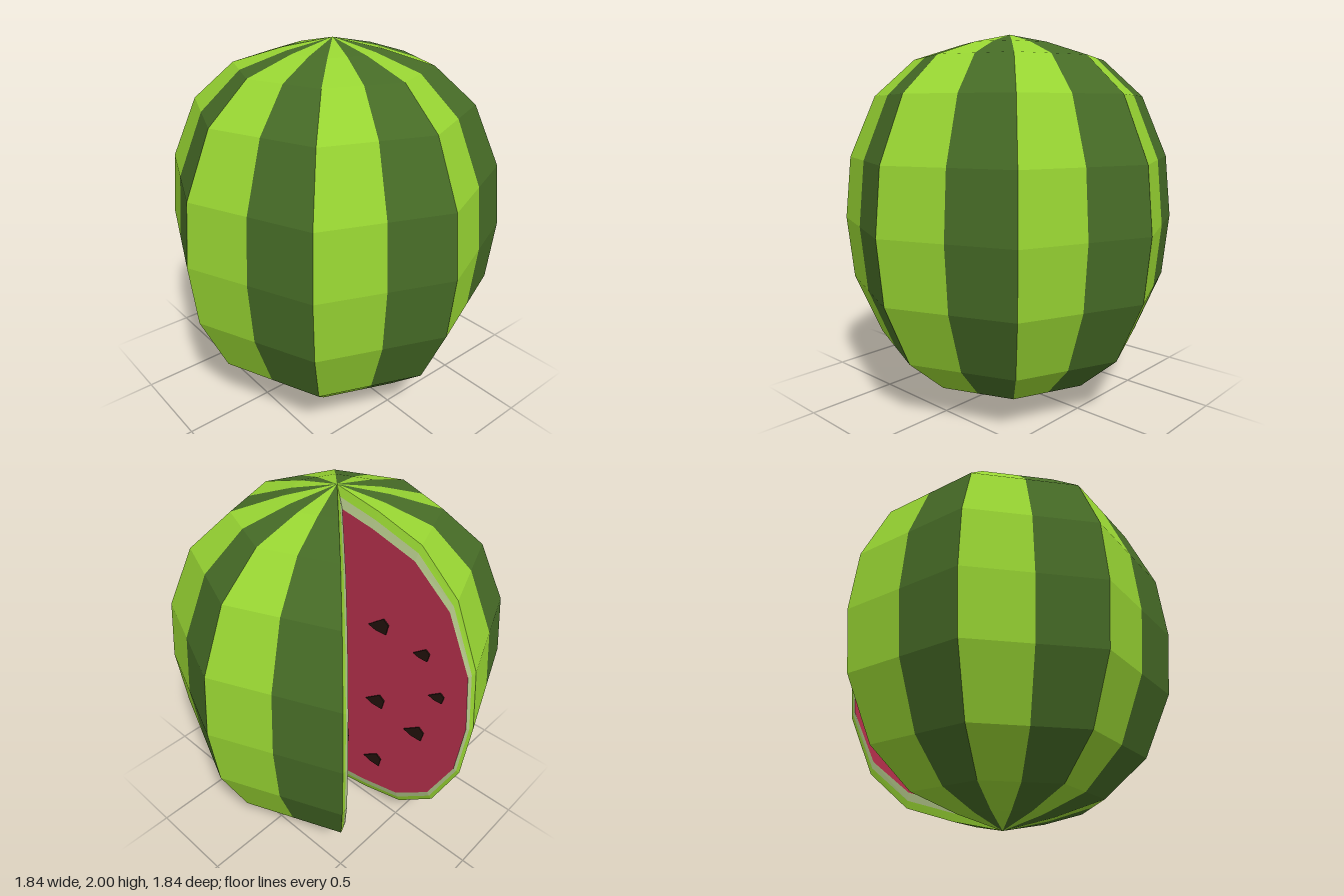
import * as THREE from 'three';

// Half outline of the melon, bottom to top: [radius, height]
const PROFILE = [[0, 0], [0.26, 0.055], [0.52, 0.135], [0.74, 0.33], [0.885, 0.66], [0.92, 1],
  [0.885, 1.34], [0.74, 1.67], [0.52, 1.865], [0.26, 1.945], [0, 2]];

const paint = (color) => new THREE.MeshStandardMaterial({ color, flatShading: true });

function part(name, geometry, material) {
  const mesh = new THREE.Mesh(geometry, material);
  mesh.name = name;
  return mesh;
}

// Joins two point rows with quads; rowA to rowB runs to the left of the row direction
function strip(rowA, rowB) {
  const pos = [];
  for (let i = 0; i < rowA.length - 1; i++) {
    const [a, b, c, d] = [rowA[i], rowA[i + 1], rowB[i + 1], rowB[i]];
    pos.push(...a, ...b, ...c, ...a, ...c, ...d);
  }
  const geo = new THREE.BufferGeometry();
  geo.setAttribute('position', new THREE.Float32BufferAttribute(pos, 3));
  geo.computeVertexNormals();
  return geo;
}

// Skin row at stripe border k: even borders are octagon corners, odd ones edge midpoints
function meridian(k) {
  const a = k * Math.PI / 8;
  const s = k % 2 ? Math.cos(Math.PI / 8) : 1;
  return PROFILE.map(([r, y]) => [Math.sin(a) * r * s, y, Math.cos(a) * r * s]);
}

// Outline of a cut face, shrunk about the melon's centre and raised by depth
const outline = (sx, sy, depth) => PROFILE.map(([r, y]) => [r * sx, 1 + (y - 1) * sy, depth]);

export function createModel() {
  const model = new THREE.Group();
  model.name = 'cutWatermelon';
  const light = paint(0x97d432), dark = paint(0x466b26);
  const pale = paint(0xb4c88a), red = paint(0xb8304c), black = paint(0x22120c);

  // Striped skin, two stripes left out for the missing slice
  const skin = new THREE.Group();
  skin.name = 'skin';
  for (let k = 0; k < 16; k++) {
    if (k === 10 || k === 11) continue;
    skin.add(part(k % 2 ? 'darkStripe' : 'lightStripe',
      strip(meridian(k + 1), meridian(k)), k % 2 ? dark : light));
  }
  model.add(skin);

  // Rind bands and flesh of a cut face
  const edge = outline(1, 1, 0), mid = outline(0.985, 0.957, 0.013), inner = outline(0.972, 0.91, 0.024);
  const rimGeo = strip(edge, mid);
  const rindGeo = strip(mid, inner);
  const fleshGeo = new THREE.ShapeGeometry(
    new THREE.Shape(inner.map(([x, y]) => new THREE.Vector2(x, y)))).translate(0, 0, 0.024);

  // Flat chipped seed
  const seedShape = new THREE.Shape([[-0.07, -0.02], [-0.02, -0.035], [0.046, -0.034], [0.06, 0.03], [0.027, 0.055]]
    .map(([x, y]) => new THREE.Vector2(x, y)));
  const seedGeo = new THREE.ExtrudeGeometry(seedShape, { depth: 0.02, bevelEnabled: false });
  const seeds = [[0.32, 1.345, 1], [0.595, 1.307, 0.75], [0.708, 1.098, 0.7],
    [0.32, 0.84, 1], [0.595, 0.78, 1], [0.32, 0.38, 1]];

  // The two cut faces mirror each other across the gap
  [[Math.PI, 1, 0], [Math.PI * 0.75, -1, 0.045]].forEach(([turn, flip, shift]) => {
    const face = new THREE.Group();
    face.name = 'cutFace';
    face.add(part('rim', rimGeo, light), part('rind', rindGeo, pale), part('flesh', fleshGeo, red));
    for (const [x, y, size] of seeds) {
      const seed = part('seed', seedGeo, black);
      seed.position.set(x + shift, y, 0.011);
      seed.scale.set(size, size, 1);
      face.add(seed);
    }
    face.rotation.y = turn;
    face.scale.z = flip;
    model.add(face);
  });
  return model;
}
